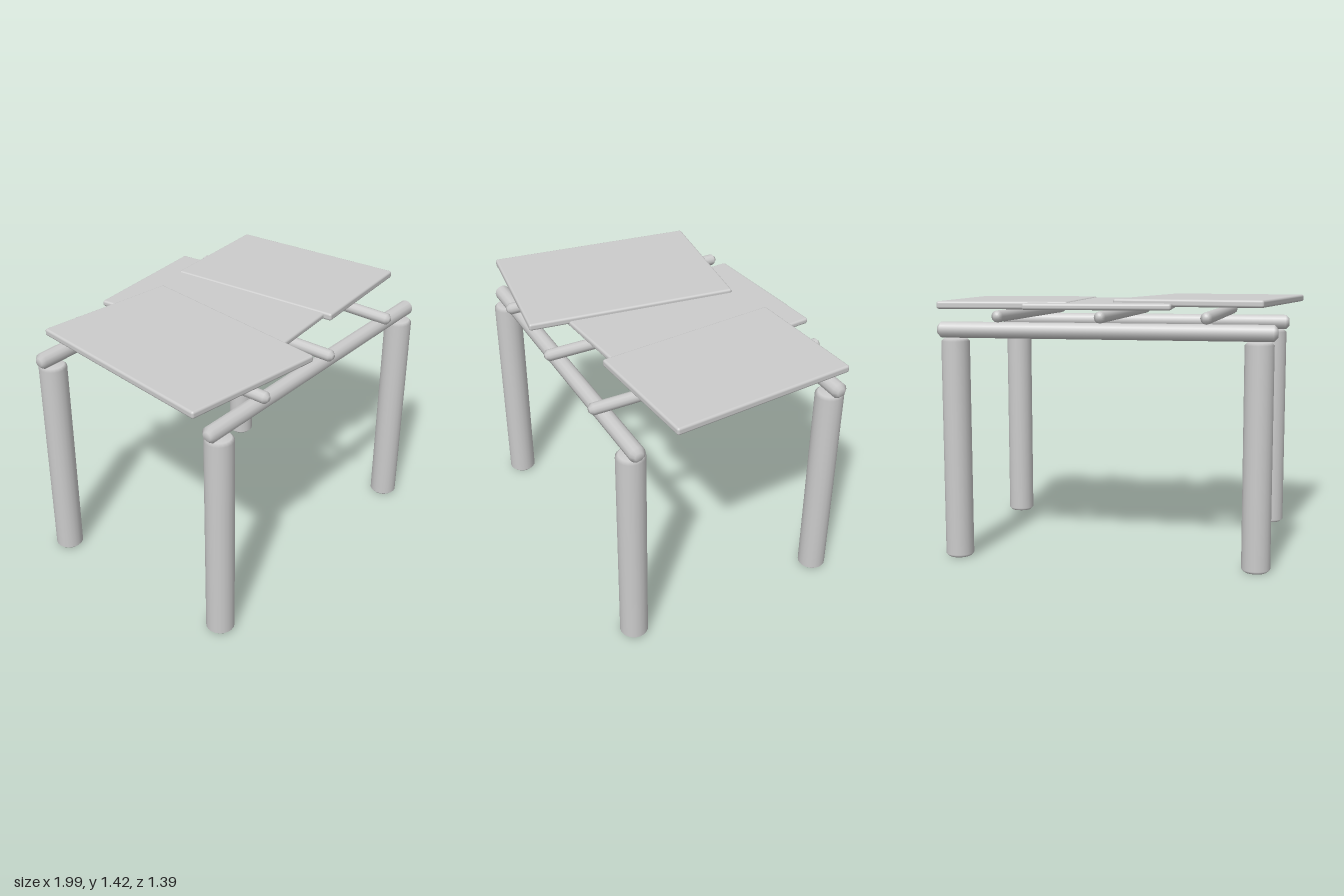
import * as THREE from 'three';
import { RoundedBoxGeometry } from 'three/addons/geometries/RoundedBoxGeometry.js';

const material = new THREE.MeshStandardMaterial({ color: 0xcccccc });

// Round log standing on its own base, with chamfered ends
function logGeometry(radius, length, chamfer, sides) {
  const h = length / 2;
  const profile = [
    [0, -h], [radius - chamfer, -h], [radius, -h + chamfer],
    [radius, h - chamfer], [radius - chamfer, h], [0, h],
  ].map(([x, y]) => new THREE.Vector2(x, y));
  return new THREE.LatheGeometry(profile, sides);
}

export function createModel() {
  const model = new THREE.Group();
  model.name = 'table';

  const add = (name, geometry, x, y, z) => {
    const mesh = new THREE.Mesh(geometry, material);
    mesh.name = name;
    mesh.position.set(x, y, z);
    model.add(mesh);
    return mesh;
  };

  const legGeometry = logGeometry(0.077, 1.21, 0.015, 20);
  const beamGeometry = logGeometry(0.044, 1.835, 0.02, 12);
  const joistGeometry = logGeometry(0.032, 1.354, 0.018, 12);

  // Two frames, each with a pair of legs and a beam on top
  for (const [end, z] of [['front', 0.592], ['back', -0.572]]) {
    for (const [side, x] of [['Left', 0.822], ['Right', -0.822]]) {
      add(`${end}${side}Leg`, legGeometry, x, 0.605, z);
    }
    add(`${end}Beam`, beamGeometry, 0.002, 1.256, z).rotation.z = Math.PI / 2;
  }

  // Joists running front to back across the beams
  [['right', -0.556], ['middle', 0.001], ['left', 0.558]].forEach(([side, x]) => {
    add(`${side}Joist`, joistGeometry, x, 1.333, 0.01).rotation.x = Math.PI / 2;
  });

  // Overlapping skewed top slabs: width, thickness, depth, centre, turn in degrees
  const slabs = [
    ['rightSlab', 0.82, 0.04, 1.18, -0.515, 1.405, 0.053, -7.8],
    ['middleSlab', 0.785, 0.034, 1.115, 0.07, 1.387, -0.107, 5.1],
    ['leftSlab', 0.72, 0.042, 1.04, 0.596, 1.389, -0.065, 4.3],
  ];
  for (const [name, width, thickness, depth, x, y, z, turn] of slabs) {
    const slab = add(name, new RoundedBoxGeometry(width, thickness, depth, 2, 0.013), x, y, z);
    slab.rotation.y = THREE.MathUtils.degToRad(turn);
  }

  return model;
}
